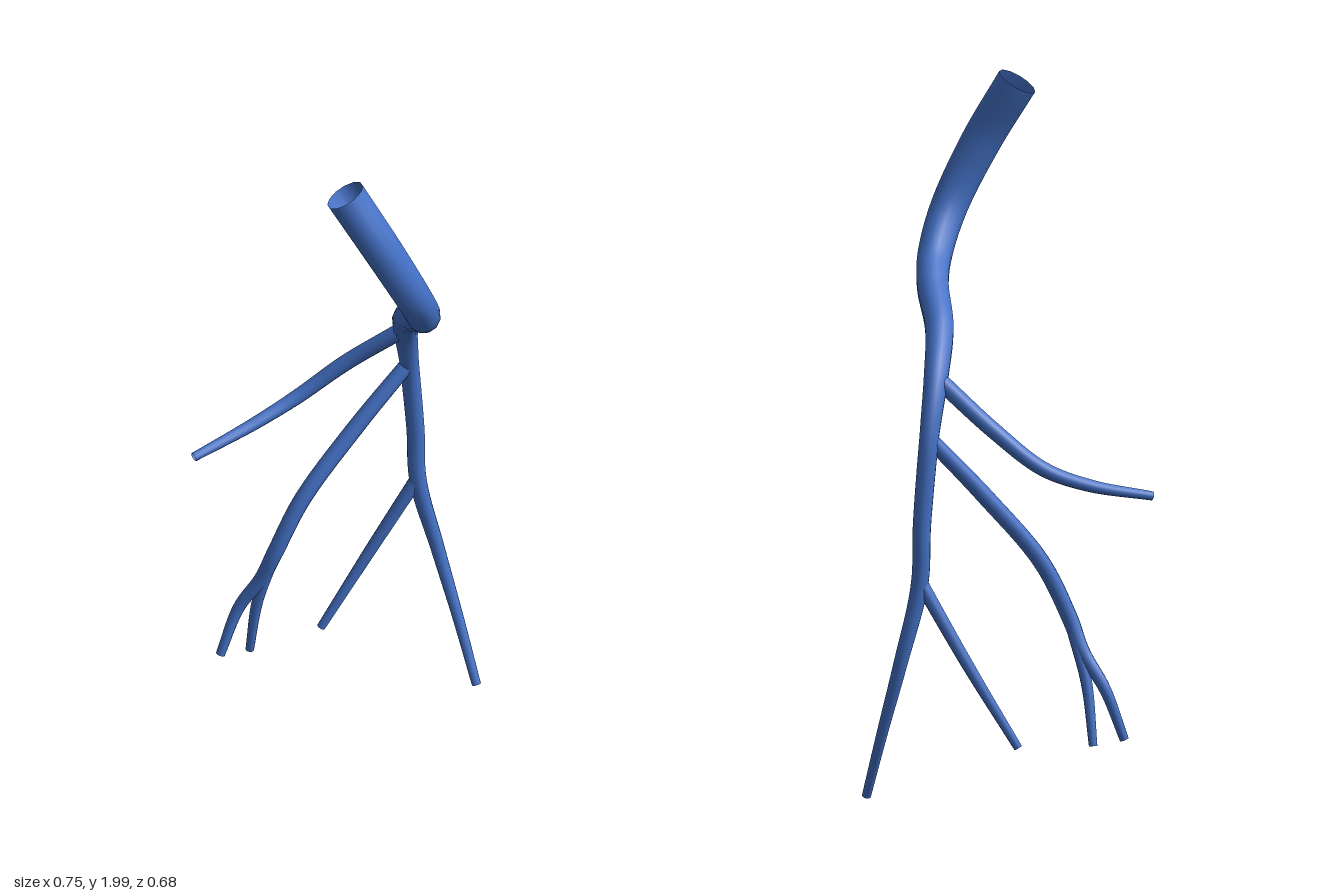
import * as THREE from 'three';

const SIDES = 12;

// Open tapered tube through stations [x, y, z, radius]
function vessel(name, stations, steps, material) {
  const curve = new THREE.CatmullRomCurve3(stations.map(([x, y, z]) => new THREE.Vector3(x, y, z)));
  const geometry = new THREE.TubeGeometry(curve, steps, 1, SIDES, false);
  const pos = geometry.attributes.position;
  const p = new THREE.Vector3();
  for (let i = 0; i <= steps; i++) {
    const u = i / steps;
    const center = curve.getPointAt(u);
    // radius eased between neighbouring stations
    const s = curve.getUtoTmapping(u) * (stations.length - 1);
    const k = Math.min(Math.floor(s), stations.length - 2);
    const radius = THREE.MathUtils.lerp(stations[k][3], stations[k + 1][3], s - k);
    for (let j = 0; j <= SIDES; j++) {
      const v = i * (SIDES + 1) + j;
      p.fromBufferAttribute(pos, v).sub(center).multiplyScalar(radius).add(center);
      pos.setXYZ(v, p.x, p.y, p.z);
    }
  }
  const mesh = new THREE.Mesh(geometry, material);
  mesh.name = name;
  return mesh;
}

export function createModel() {
  const blue = new THREE.MeshStandardMaterial({ color: 0x4472c8, side: THREE.DoubleSide });
  blue.name = 'vessel blue';

  const group = new THREE.Group();
  group.name = 'branchingVessel';

  // Main trunk, from the wide open mouth down to the lowest tip
  group.add(vessel('trunk', [
    [0.163, 1.965, 0.282, 0.058],
    [0.262, 1.79, 0.245, 0.056],
    [0.32, 1.61, 0.175, 0.052],
    [0.302, 1.49, 0.085, 0.049],
    [0.25, 1.42, 0.005, 0.046],
    [0.148, 1.32, -0.1, 0.041],
    [0.085, 1.2, -0.2, 0.035],
    [0.061, 1.05, -0.262, 0.028],
    [0.066, 0.8, -0.29, 0.026],
    [0.073, 0.63, -0.292, 0.025],
    [0.12, 0.4, -0.32, 0.02],
    [0.188, 0.2, -0.312, 0.016],
    [0.264, 0.008, -0.285, 0.013],
  ], 96, blue));

  // Upper side branch
  group.add(vessel('upperBranch', [
    [0.07, 1.19, -0.195, 0.024],
    [-0.08, 1.06, -0.147, 0.023],
    [-0.19, 0.955, -0.07, 0.021],
    [-0.27, 0.9, 0.04, 0.018],
    [-0.365, 0.857, 0.206, 0.013],
  ], 40, blue));

  // Middle branch with its fork
  group.add(vessel('middleBranch', [
    [0.06, 1.04, -0.262, 0.022],
    [-0.035, 0.87, -0.133, 0.024],
    [-0.13, 0.675, 0.003, 0.024],
    [-0.185, 0.51, 0.064, 0.023],
    [-0.22, 0.42, 0.075, 0.021],
    [-0.28, 0.315, 0.1, 0.017],
    [-0.315, 0.17, 0.143, 0.013],
  ], 56, blue));
  group.add(vessel('middleFork', [
    [-0.195, 0.48, 0.066, 0.019],
    [-0.237, 0.33, 0.072, 0.016],
    [-0.265, 0.157, 0.065, 0.012],
  ], 24, blue));

  // Lower branch
  group.add(vessel('lowerBranch', [
    [0.071, 0.635, -0.29, 0.02],
    [-0.037, 0.4, -0.213, 0.017],
    [-0.14, 0.165, -0.118, 0.012],
  ], 28, blue));

  return group;
}
